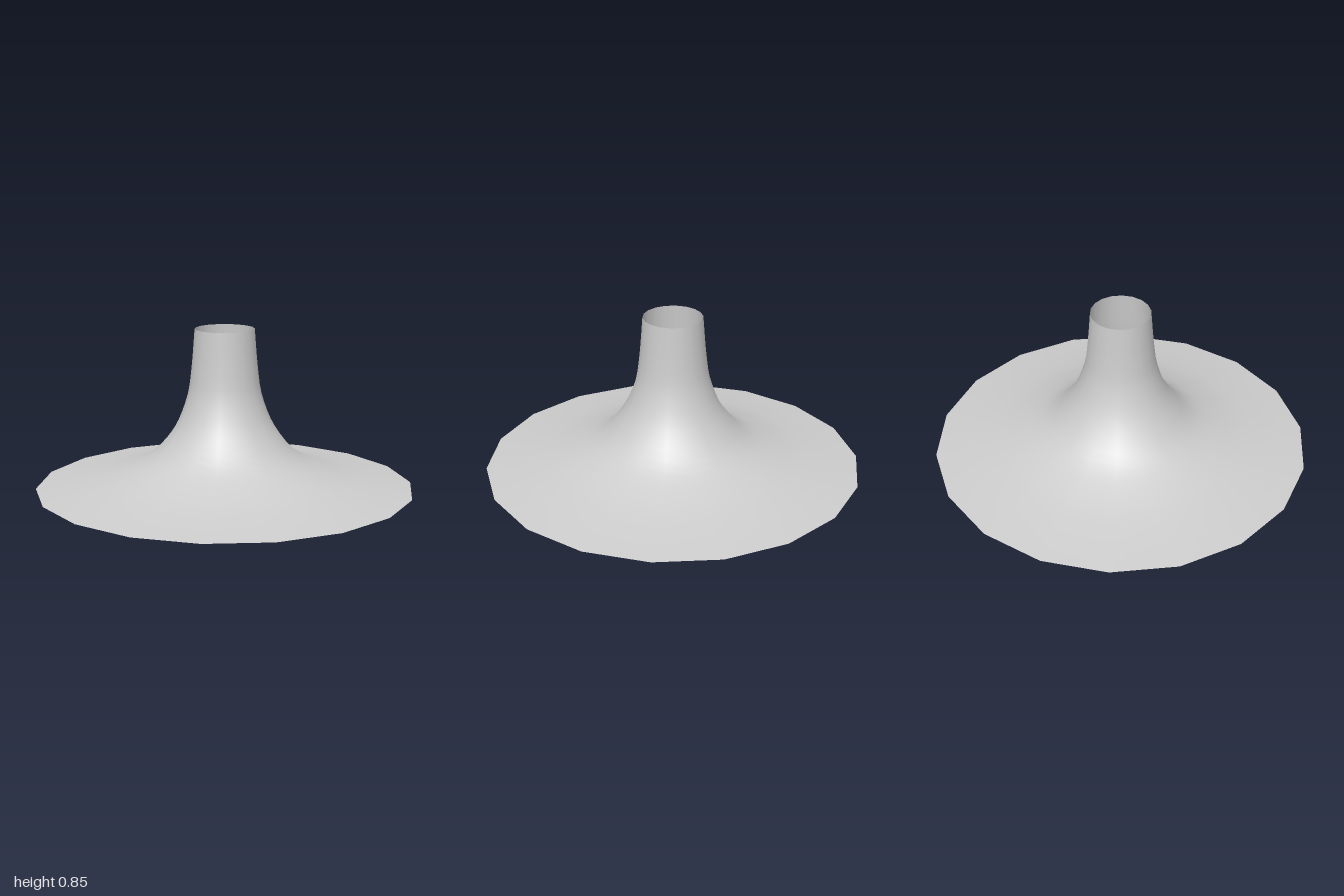
import * as THREE from 'three';

export function createModel() {
  const group = new THREE.Group();
  group.name = 'flaredFunnel';

  const grey = new THREE.MeshStandardMaterial({ color: 0xcccccc, side: THREE.DoubleSide });
  grey.name = 'light grey';

  // Profile as [radius, height], from the wide rim up to the open neck
  const profile = new THREE.SplineCurve([
    [1, 0], [0.8, 0.032], [0.6, 0.079], [0.4, 0.168], [0.27, 0.315],
    [0.2, 0.48], [0.175, 0.63], [0.157, 0.845],
  ].map(([r, y]) => new THREE.Vector2(r, y)));

  // Open shell of revolution with 18 sides, a corner on the x axis
  const shell = new THREE.Mesh(
    new THREE.LatheGeometry(profile.getSpacedPoints(28), 18, Math.PI / 2),
    grey,
  );
  shell.name = 'funnelShell';
  group.add(shell);

  return group;
}
